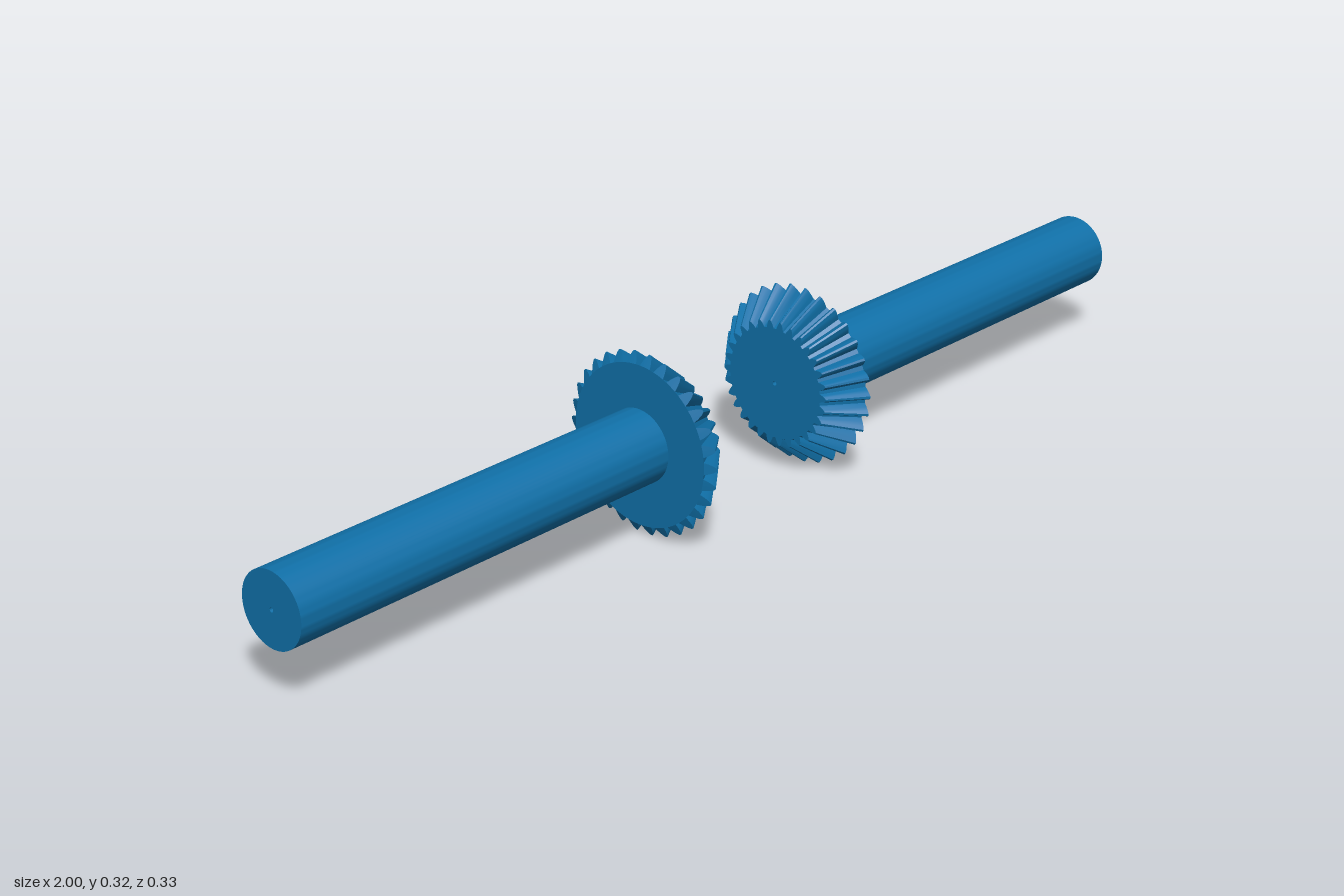
import * as THREE from 'three';
import { toCreasedNormals } from 'three/addons/utils/BufferGeometryUtils.js';

const TEETH = 30, PITCH = (Math.PI * 2) / TEETH;
const BORE = 0.004, SHAFT_R = 0.065, AXIS_Y = 0.161;
const ROOT_R = 0.142, TIP_R = 0.161; // at the wide end
const NARROW = 0.705, LENGTH = 0.071, TIP_SETBACK = 0.011;

const material = new THREE.MeshStandardMaterial({ color: 0x1070a8 });

// One tooth: angle from its middle, height from root (0) to tip (1)
const flank = [[0.076, 0], [0.057, 0.4], [0.036, 0.75], [0.013, 1]];
const tooth = [...flank.map(([a, h]) => [-a, h]), ...flank.slice().reverse()];

// Bevel gear along +x: narrow end at `front`, flat back at front + LENGTH
function bevelGearGeometry(front) {
  const back = front + LENGTH;
  const outline = [];
  for (let k = 0; k < TEETH; k++) {
    for (const [a, h] of tooth) outline.push([(k + 0.5) * PITCH + a, h]);
  }
  const radius = (h) => ROOT_R + (TIP_R - ROOT_R) * h;
  // Closed loop of rings: each gives [x, r] for a tooth height
  const rings = [
    () => [front, BORE],
    (h) => [front, radius(h) * NARROW],
    (h) => [back - TIP_SETBACK * h, radius(h)],
    () => [back, ROOT_R],
    () => [back, BORE],
  ];
  const positions = [], index = [], n = outline.length;
  for (const ring of rings) {
    for (const [a, h] of outline) {
      const [x, r] = ring(h);
      positions.push(x, r * Math.cos(a), r * Math.sin(a));
    }
  }
  for (let i = 0; i < rings.length; i++) {
    const next = (i + 1) % rings.length;
    for (let j = 0; j < n; j++) {
      const k = (j + 1) % n;
      const a = i * n + j, b = i * n + k, c = next * n + j, d = next * n + k;
      // Back cone closes onto the root circle, so skip its empty quads
      if (i === 2 && outline[j][1] === 0 && outline[k][1] === 0) continue;
      index.push(a, b, c, b, d, c);
    }
  }
  const geometry = new THREE.BufferGeometry();
  geometry.setAttribute('position', new THREE.Float32BufferAttribute(positions, 3));
  geometry.setIndex(index);
  return toCreasedNormals(geometry, 0.5);
}

// Round shaft along +x with a fine centre bore
function shaftGeometry(start, end) {
  const profile = [[SHAFT_R, start], [SHAFT_R, end], [BORE, end], [BORE, start]];
  const geometry = new THREE.LatheGeometry(profile.map(([r, y]) => new THREE.Vector2(r, y)), 64);
  geometry.rotateZ(-Math.PI / 2);
  return toCreasedNormals(geometry, 0.5);
}

function gearOnShaft(side, front) {
  const group = new THREE.Group();
  group.name = side + 'GearShaft';
  const gear = new THREE.Mesh(bevelGearGeometry(front), material);
  gear.name = side + 'BevelGear';
  const shaft = new THREE.Mesh(shaftGeometry(front + LENGTH, 1), material);
  shaft.name = side + 'Shaft';
  group.add(gear, shaft);
  return group;
}

export function createModel() {
  const model = new THREE.Group();
  model.name = 'bevelGearPair';

  const left = gearOnShaft('left', 0.134);
  left.position.set(0, AXIS_Y, -0.002);

  // The facing gear is turned half a revolution
  const right = gearOnShaft('right', 0.139);
  right.rotation.y = Math.PI;
  right.position.set(0, AXIS_Y, 0.002);

  model.add(left, right);
  return model;
}
